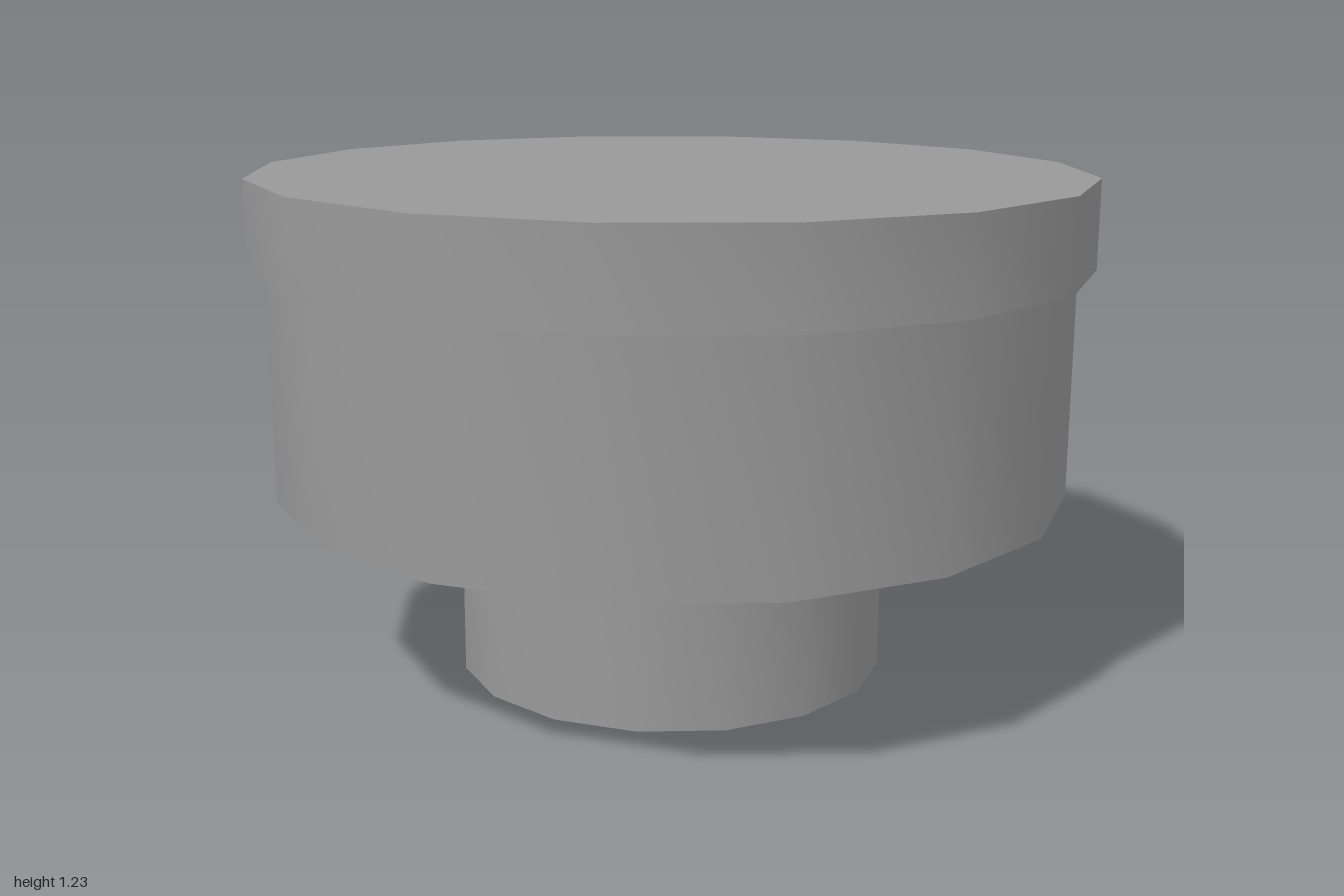
import * as THREE from 'three';
import { toCreasedNormals } from 'three/addons/utils/BufferGeometryUtils.js';

const SIDES = 16;
const TURN = 0.3; // angle of the first corner
const STEM_R = 0.522, BODY_R = 0.96, CAP_R = 1.003;
const STEM_TOP = 0.455, BODY_TOP = 1.004, CAP_TOP = 1.218;

// Open shell turned from a [radius, height] profile: smooth around, sharp at the steps
function turned(name, profile, material) {
  const points = profile.map(([r, y]) => new THREE.Vector2(r, y));
  const geometry = new THREE.LatheGeometry(points, SIDES, TURN);
  const mesh = new THREE.Mesh(toCreasedNormals(geometry, 0.7), material);
  mesh.name = name;
  return mesh;
}

export function createModel() {
  const model = new THREE.Group();
  model.name = 'knob';
  const material = new THREE.MeshStandardMaterial({ color: 0x999999, side: THREE.DoubleSide });

  // The hollow shell leans back very slightly
  const shell = new THREE.Group();
  shell.name = 'shell';
  shell.rotation.x = -0.006;
  shell.position.set(0, 0.0035, 0.007);
  model.add(shell);

  shell.add(
    // Hollow stem, open at the bottom
    turned('stem', [[STEM_R, 0], [STEM_R, STEM_TOP]], material),
    // Wide drum with a ring-shaped underside
    turned('body', [[STEM_R, STEM_TOP], [BODY_R, STEM_TOP], [BODY_R, BODY_TOP]], material),
    // Overhanging rim closed by a flat top
    turned('cap', [[BODY_R, BODY_TOP], [CAP_R, BODY_TOP], [CAP_R, CAP_TOP], [0, CAP_TOP]], material)
  );
  return model;
}
